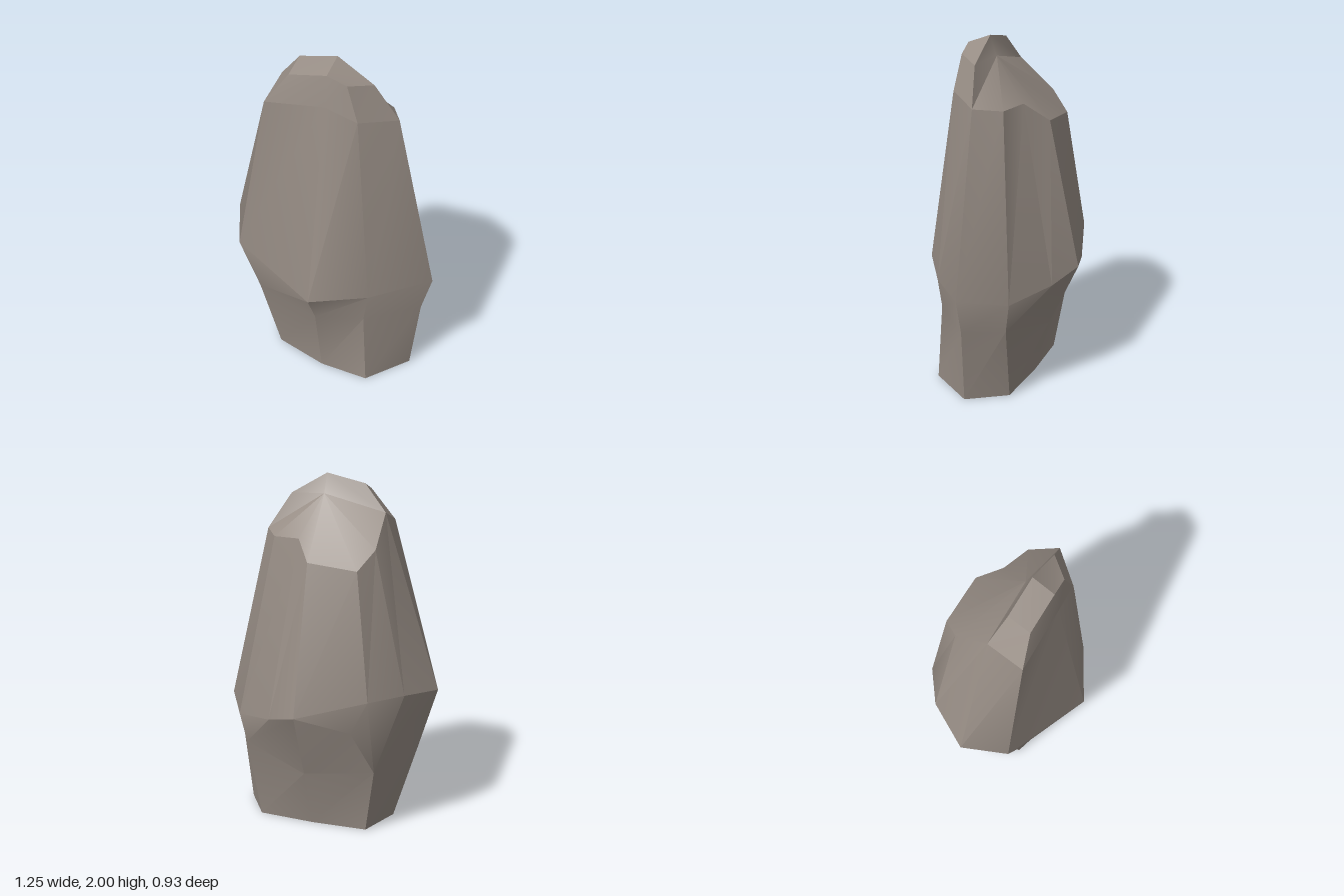
import * as THREE from 'three';
import { toCreasedNormals } from 'three/addons/utils/BufferGeometryUtils.js';

// Matching ten-point rings, running left, front, right, back
const base = [[-.38, 0, .04], [-.28, 0, .21], [.04, 0, .29], [.33, 0, .29], [.51, 0, .04],
  [.37, 0, -.18], [.37, 0, -.18], [.04, 0, -.21], [-.28, 0, -.21], [-.28, 0, -.21]];
const waist = [[-.52, .45, .04], [-.38, .45, .26], [.04, .45, .37], [.3, .45, .27], [.56, .45, .03],
  [.45, .45, -.19], [.45, .45, -.19], [.06, .34, -.3], [-.34, .38, -.26], [-.34, .38, -.26]];
const belly = [[-.63, .81, .03], [-.5, .74, .27], [.04, .63, .46], [.33, .63, .28], [.62, .67, .03],
  [.48, .63, -.22], [.24, .675, -.38], [.06, .73, -.47], [-.33, .83, -.37], [-.5, .845, -.23]];
const shoulder = [[-.31, 1.8, .03], [-.31, 1.73, .24], [.04, 1.78, .23], [.22, 1.72, .21], [.38, 1.68, .03],
  [.29, 1.66, -.11], [.13, 1.665, -.16], [.04, 1.56, -.28], [-.24, 1.53, -.28], [-.31, 1.63, -.17]];

// Crown: front edge, ridge and the head of the broken slope behind it
const front = [[-.18, 1.905, .2], [.04, 1.95, .2], [.15, 1.91, .19]];
const ridge = [[-.18, 1.95, .07], [.04, 2, .07], [.25, 1.88, .07]];
const slopeHead = [.045, 1.89, .03];
// Small bulge under the back of the belly
const bulge = [-.24, .65, -.39];

const same = (a, b) => a.every((v, i) => v === b[i]);

function buildMesh(name, faces, material) {
  const positions = [];
  for (const face of faces) {
    for (let i = 1; i < face.length - 1; i++) {
      const [a, b, c] = [face[0], face[i], face[i + 1]];
      if (same(a, b) || same(b, c) || same(a, c)) continue;
      positions.push(...a, ...b, ...c);
    }
  }
  const geometry = new THREE.BufferGeometry();
  geometry.setAttribute('position', new THREE.Float32BufferAttribute(positions, 3));
  const mesh = new THREE.Mesh(toCreasedNormals(geometry, 0.5), material);
  mesh.name = name;
  return mesh;
}

// Band of quads between two rings
function band(lower, upper) {
  return lower.map((p, i) => {
    const j = (i + 1) % lower.length;
    return [p, lower[j], upper[j], upper[i]];
  });
}

// Triangles from one centre point around an open run of points
function fan(centre, points) {
  return points.slice(0, -1).map((p, i) => [centre, p, points[i + 1]]);
}

export function createModel() {
  const stone = new THREE.MeshStandardMaterial({ color: 0x968c84 });
  stone.name = 'stone';

  // Underside, foot, flaring band and tall body
  const flare = band(waist, belly);
  flare.splice(7, 1, ...fan(bulge, [waist[7], waist[8], belly[8], belly[7], waist[7]]));
  const body = [[...base].reverse(), ...band(base, waist), ...flare, ...band(belly, shoulder)];

  // Crown facets and the broken slope at the back
  const s = shoulder;
  const crown = [
    [s[0], s[1], front[0], ridge[0]],
    [s[1], s[2], front[1], front[0]],
    [s[2], s[3], front[2], front[1]],
    [s[3], s[4], ridge[2], front[2]],
    [front[0], front[1], ridge[1], ridge[0]],
    [front[1], front[2], ridge[2], ridge[1]],
    [s[0], ridge[0], ridge[1], slopeHead],
    [slopeHead, ridge[1], ridge[2], s[4]],
    ...fan(slopeHead, [...s.slice(4), s[0]]),
  ];

  const group = new THREE.Group();
  group.name = 'standingRock';
  group.add(buildMesh('rockBody', body, stone), buildMesh('rockCrown', crown, stone));
  return group;
}
